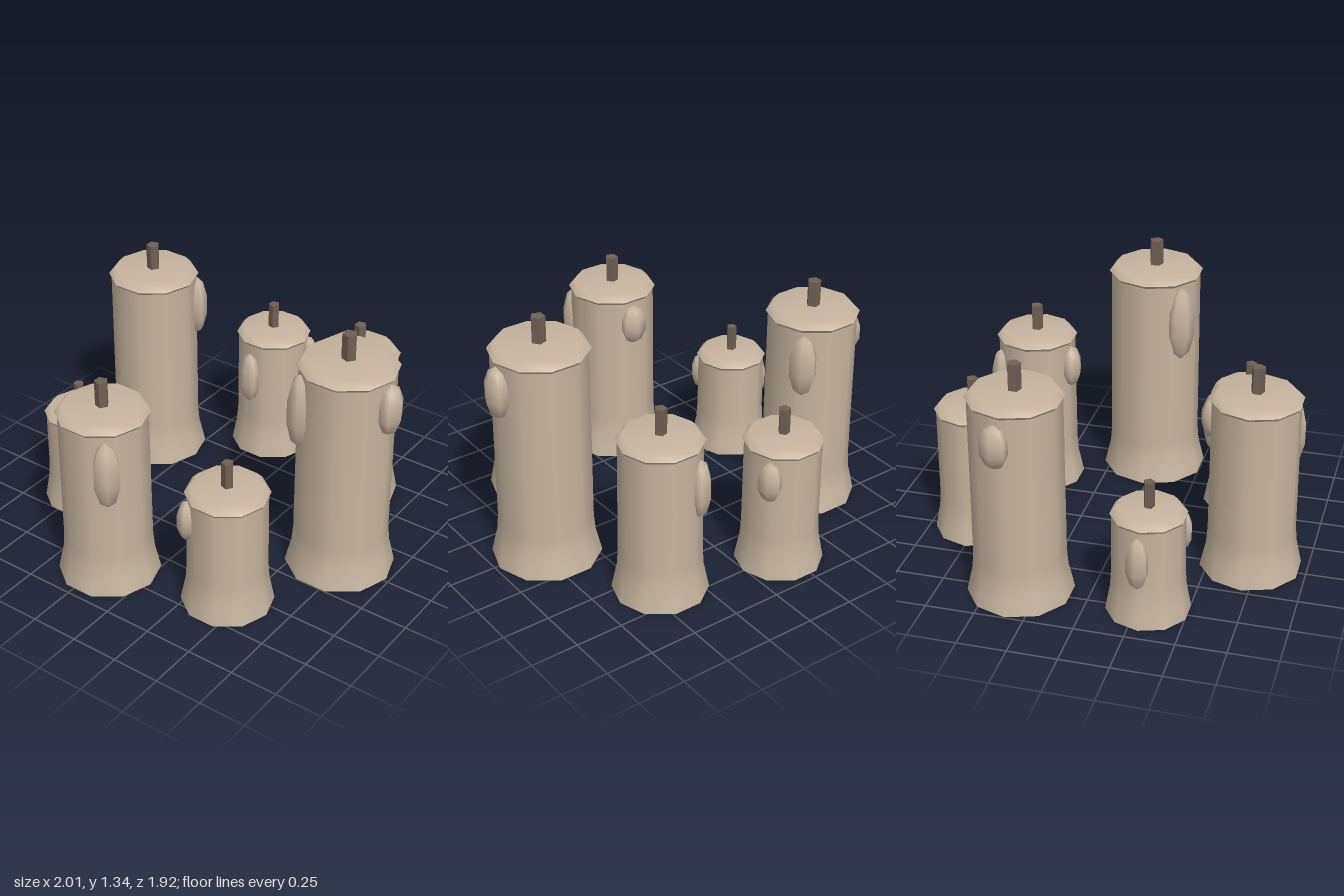
import * as THREE from 'three';

const wax = new THREE.MeshStandardMaterial({ color: 0xc6b4a0 });
wax.name = 'wax';
const wickDark = new THREE.MeshStandardMaterial({ color: 0x6e6055 });
wickDark.name = 'wick dark';

// Each candle: centre, base radius, height, and drips as [angle in degrees from +x towards +z, y, half height]
const candles = [
  { x: 0.70, z: -0.02, r: 0.28, h: 1.2, drips: [[0, 1.0, 0.14], [132, 0.935, 0.205]] },
  { x: 0.415, z: 0.565, r: 0.233, h: 0.68, drips: [[135, 0.5, 0.11], [-90, 0.45, 0.17]] },
  { x: -0.217, z: 0.71, r: 0.26, h: 0.975, drips: [[48, 0.715, 0.185], [-86, 0.8, 0.11]] },
  { x: -0.727, z: 0.302, r: 0.21, h: 0.57, drips: [[54, 0.4, 0.1], [184, 0.355, 0.14]] },
  { x: -0.727, z: -0.347, r: 0.267, h: 1.105, drips: [[188, 0.91, 0.115], [-39, 0.87, 0.17]] },
  { x: -0.217, z: -0.75, r: 0.225, h: 0.73, drips: [[-32, 0.555, 0.11], [98, 0.48, 0.15]] },
  { x: 0.415, z: -0.605, r: 0.24, h: 0.88, drips: [[-122, 0.62, 0.16], [101, 0.695, 0.115]] },
];

function lathe(points) {
  return new THREE.LatheGeometry(points.map(([r, y]) => new THREE.Vector2(r, y)), 10, Math.PI / 2);
}

function add(parent, name, geometry, material) {
  const mesh = new THREE.Mesh(geometry, material);
  mesh.name = name;
  parent.add(mesh);
  return mesh;
}

function makeCandle({ x, z, r, h, drips }) {
  const candle = new THREE.Group();
  candle.name = 'candle';
  candle.position.set(x, 0, z);
  const wall = 0.85 * r;
  const lip = 0.895 * r;

  // Ten-sided body with flared foot
  add(candle, 'body', lathe([
    [r, 0], [0.95 * r, 0.06], [0.885 * r, 0.135], [0.86 * r, 0.22], [wall, h - 0.045],
  ]), wax);
  add(candle, 'base', new THREE.CircleGeometry(r, 10).rotateX(Math.PI / 2), wax);

  // Overhanging lip and bevelled top
  add(candle, 'lip', lathe([[wall, h - 0.05], [lip, h - 0.035]]), wax);
  add(candle, 'top', lathe([[lip, h - 0.035], [lip - 0.033, h], [0, h]]), wax);

  // Five-sided wick
  const wick = add(candle, 'wick',
    new THREE.CylinderGeometry(0.132 * r, 0.132 * r, 0.155, 5, 1, false, Math.PI / 2).toNonIndexed(), wickDark);
  wick.geometry.computeVertexNormals();
  wick.position.y = h + 0.0575;

  // Wax drips half sunk into the wall
  for (const [degrees, y, half] of drips) {
    const a = THREE.MathUtils.degToRad(degrees);
    const drip = add(candle, 'drip', new THREE.SphereGeometry(1, 6, 5), wax);
    drip.scale.set(0.225 * r, half, 0.29 * r);
    drip.position.set(wall * Math.cos(a), y, wall * Math.sin(a));
    drip.rotation.y = -a;
  }
  return candle;
}

export function createModel() {
  const model = new THREE.Group();
  model.name = 'candle ring';
  for (const c of candles) model.add(makeCandle(c));
  return model;
}
